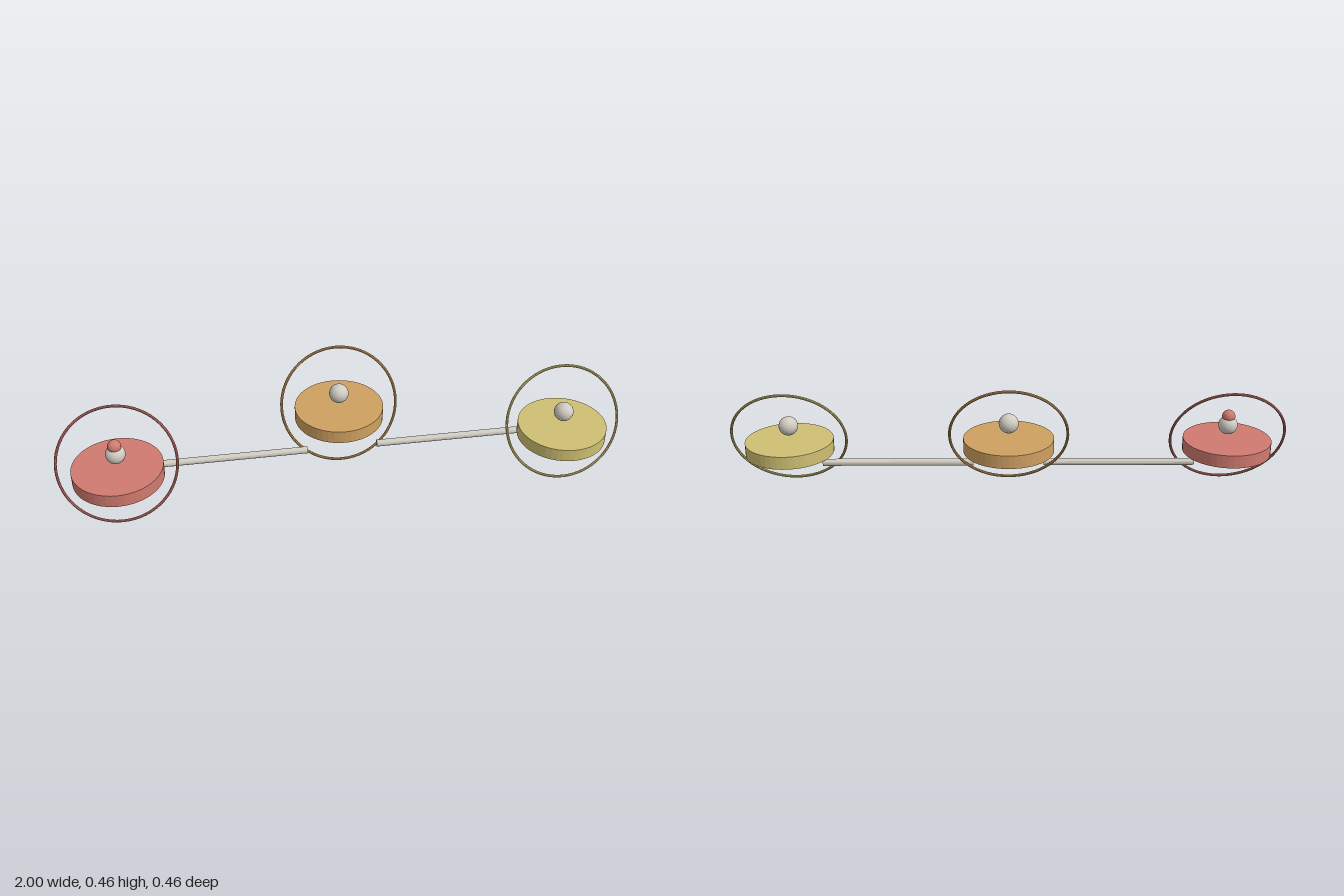
import * as THREE from 'three';

const mat = (name, color) => {
  const m = new THREE.MeshStandardMaterial({ color, flatShading: true });
  m.name = name;
  return m;
};

export function createModel() {
  const model = new THREE.Group();
  model.name = 'threePlatforms';
  const red = mat('coral red', 0xd07a6f);
  const orange = mat('warm orange', 0xcfa060);
  const yellow = mat('soft yellow', 0xcfc073);
  const grey = mat('pale grey', 0xd0ccc2);

  const discGeo = new THREE.CylinderGeometry(0.158, 0.158, 0.0474, 48);
  const ringGeo = new THREE.TorusGeometry(0.2053, 0.0049, 8, 64);
  const ballGeo = new THREE.IcosahedronGeometry(0.0347, 3);
  const rodGeo = new THREE.CylinderGeometry(0.0126, 0.0126, 0.537, 12);

  const add = (parent, name, geo, material, x, y, z) => {
    const mesh = new THREE.Mesh(geo, material);
    mesh.name = name;
    mesh.position.set(x, y, z);
    parent.add(mesh);
    return mesh;
  };

  // Each station: flat disc, tilted hoop and a hovering ball
  const station = (name, material, x, y, z) => {
    const g = new THREE.Group();
    g.name = name;
    g.position.set(x, y, z);
    add(g, 'disc', discGeo, material, 0, -0.032, 0);
    add(g, 'hoop', ringGeo, material, 0, 0, 0).rotation.x = -0.384;
    add(g, 'ball', ballGeo, grey, 0, 0.045, 0);
    model.add(g);
    return g;
  };
  const right = station('rightStation', red, -0.79, 0.195, 0.072);
  station('middleStation', orange, 0, 0.261, -0.071);
  station('leftStation', yellow, 0.79, 0.195, 0.072);

  // Small cap ball on the right station
  add(right, 'capBall', new THREE.IcosahedronGeometry(0.0237, 3), red, 0, 0.078, 0);

  // Connecting rods
  for (const side of [-1, 1]) {
    add(model, side < 0 ? 'rightRod' : 'leftRod', rodGeo, grey, side * 0.394, 0.126, 0.006)
      .rotation.z = Math.PI / 2;
  }
  return model;
}
